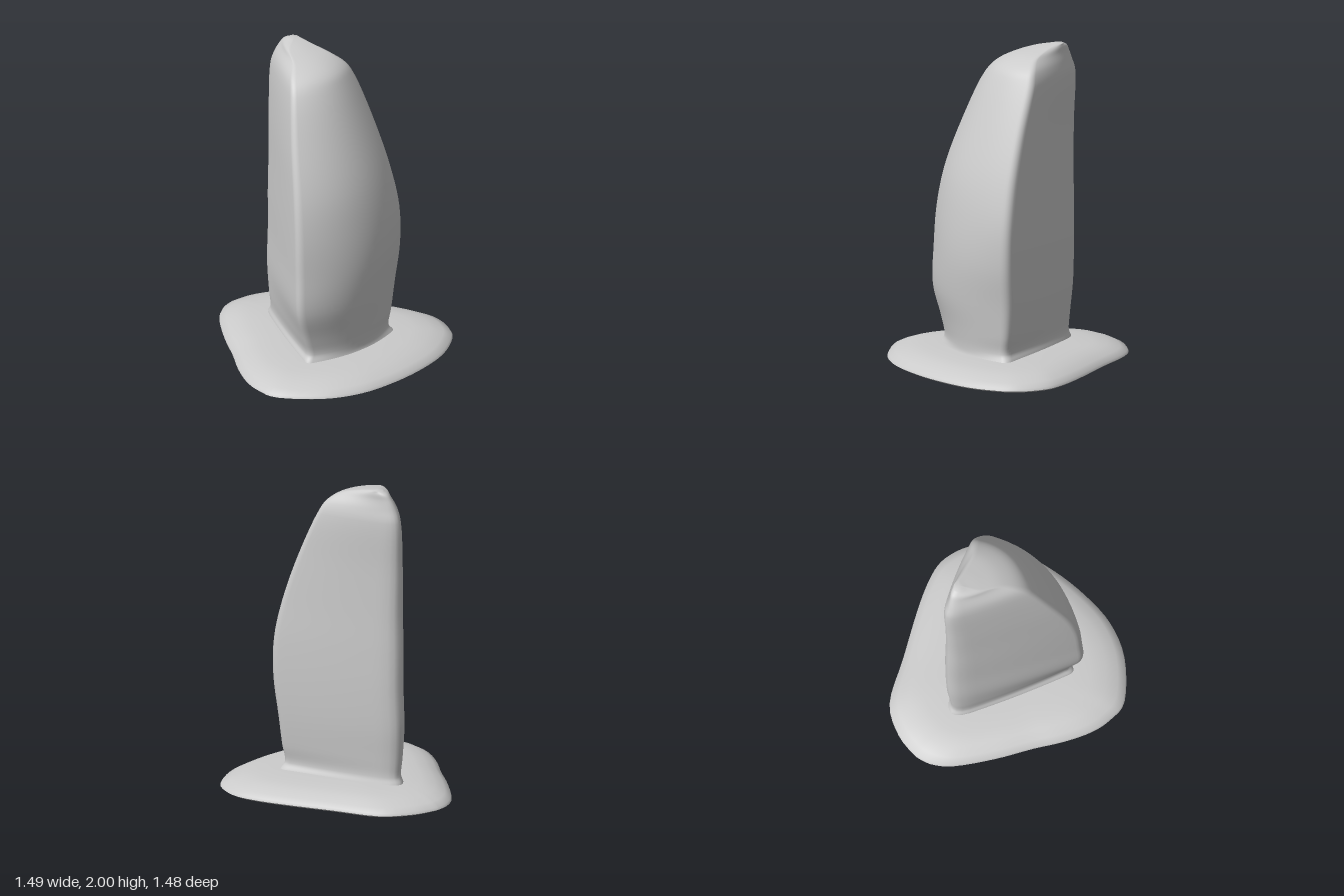
import * as THREE from 'three';
import { toCreasedNormals } from 'three/addons/utils/BufferGeometryUtils.js';

const V2 = (x, z) => new THREE.Vector2(x, z);

// Skin closed rings (bottom to top) and close both ends on a centre point.
function loft(rings, bottom, top) {
  const n = rings[0].length, pos = [], idx = [];
  for (const ring of rings) for (const p of ring) pos.push(p.x, p.y, p.z);
  const lo = rings.length * n, hi = lo + 1, last = (rings.length - 1) * n;
  pos.push(...bottom, ...top);
  for (let i = 0; i < n; i++) {
    const j = (i + 1) % n;
    for (let r = 0; r < rings.length - 1; r++) {
      const a = r * n + i, b = r * n + j;
      idx.push(a, b, b + n, a, b + n, a + n);
    }
    idx.push(j, i, lo, last + i, last + j, hi);
  }
  const g = new THREE.BufferGeometry();
  g.setAttribute('position', new THREE.Float32BufferAttribute(pos, 3));
  g.setIndex(idx);
  g.computeVertexNormals();
  return g;
}

// Triangular section: bowed sides joined by rounded corners.
function section([y, ax, az, bx, bz, cx, cz, bulge]) {
  const corners = [V2(ax, az), V2(bx, bz), V2(cx, cz)];
  const cuts = [0.2, 0.05, 0.06], bows = [0.015, bulge, 0.02];
  const sides = corners.map((p, k) => {
    const q = corners[(k + 1) % 3], d = q.clone().sub(p);
    const out = V2(-d.y, d.x).normalize().multiplyScalar(2 * bows[k]);
    return new THREE.QuadraticBezierCurve(p, p.clone().add(q).multiplyScalar(0.5).add(out), q);
  });
  const pts = [];
  corners.forEach((p, k) => {
    const m = (k + 1) % 3;
    for (let i = 0; i < 14; i++) pts.push(sides[k].getPoint(cuts[k] + (1 - cuts[k] - cuts[m]) * i / 14));
    const round = new THREE.QuadraticBezierCurve(
      sides[k].getPoint(1 - cuts[m]), corners[m], sides[m].getPoint(cuts[m]));
    for (let i = 0; i < 6; i++) pts.push(round.getPoint(i / 6));
  });
  return pts.map(p => new THREE.Vector3(p.x, y, p.y));
}

export function createModel() {
  const group = new THREE.Group();
  const material = new THREE.MeshStandardMaterial({ color: 0xcccccc });
  const add = (name, geometry) => {
    const mesh = new THREE.Mesh(geometry, material);
    mesh.name = name;
    group.add(mesh);
  };

  // Upright body: height, then x and z of the three corners, then bow of the +x side
  const rows = [
    [0.05, -0.51, -0.06, 0.30, 0.40, 0.38, -0.38, 0.08],
    [0.10, -0.49, -0.05, 0.28, 0.38, 0.35, -0.35, 0.08],
    [0.14, -0.47, -0.05, 0.27, 0.355, 0.335, -0.325, 0.09],
    [0.25, -0.48, -0.05, 0.27, 0.385, 0.34, -0.345, 0.10],
    [0.45, -0.50, -0.06, 0.28, 0.455, 0.35, -0.37, 0.12],
    [0.70, -0.50, -0.07, 0.27, 0.455, 0.375, -0.39, 0.13],
    [0.95, -0.50, -0.07, 0.255, 0.445, 0.37, -0.39, 0.125],
    [1.20, -0.49, -0.07, 0.215, 0.415, 0.32, -0.365, 0.125],
    [1.50, -0.485, -0.07, 0.13, 0.345, 0.22, -0.325, 0.115],
    [1.80, -0.475, -0.08, 0.03, 0.245, 0.09, -0.275, 0.10],
    [1.88, -0.44, -0.08, -0.02, 0.19, 0.05, -0.24, 0.09],
    [1.94, -0.40, -0.09, -0.09, 0.10, -0.02, -0.18, 0.05],
    [1.975, -0.36, -0.10, -0.20, 0.02, -0.14, -0.14, 0.03],
    [1.995, -0.31, -0.10, -0.25, -0.07, -0.24, -0.12, 0],
  ].map(section);
  // Smooth every column of the sections along the height
  const steps = 65;
  const columns = rows[0].map((_, i) => new THREE.CatmullRomCurve3(rows.map(r => r[i])).getPoints(steps));
  const rings = Array.from({ length: steps + 1 }, (_, r) => columns.map(c => c[r]));
  add('body', loft(rings, [0.08, 0.05, 0], [-0.27, 2, -0.1]));

  // Thin irregular base flange
  const outline = new THREE.SplineCurve([
    [-0.75, -0.05], [-0.73, 0.05], [-0.65, 0.17], [-0.45, 0.34], [-0.25, 0.48], [-0.1, 0.595],
    [0.06, 0.69], [0.2, 0.73], [0.35, 0.72], [0.57, 0.54], [0.69, 0.33], [0.735, 0.1],
    [0.74, -0.15], [0.70, -0.4], [0.6, -0.6], [0.5, -0.69], [0.35, -0.74], [0.2, -0.72],
    [0, -0.65], [-0.3, -0.52], [-0.58, -0.4], [-0.71, -0.22], [-0.75, -0.05],
  ].map(p => V2(...p))).getPoints(88).slice(0, -1);
  const cx = 0.05;
  const flange = [
    [0.97, 0], [1, 0.012], [0.99, 0.027], [0.93, 0.05], [0.83, 0.078], [0.7, 0.09], [0.55, 0.097], [0.3, 0.1],
  ].map(([s, y]) => outline.map(p => new THREE.Vector3(cx + (p.x - cx) * s, y, p.y * s)));
  add('baseFlange', toCreasedNormals(loft(flange, [cx, 0, 0], [cx, 0.1, 0]), 0.7));

  return group;
}
